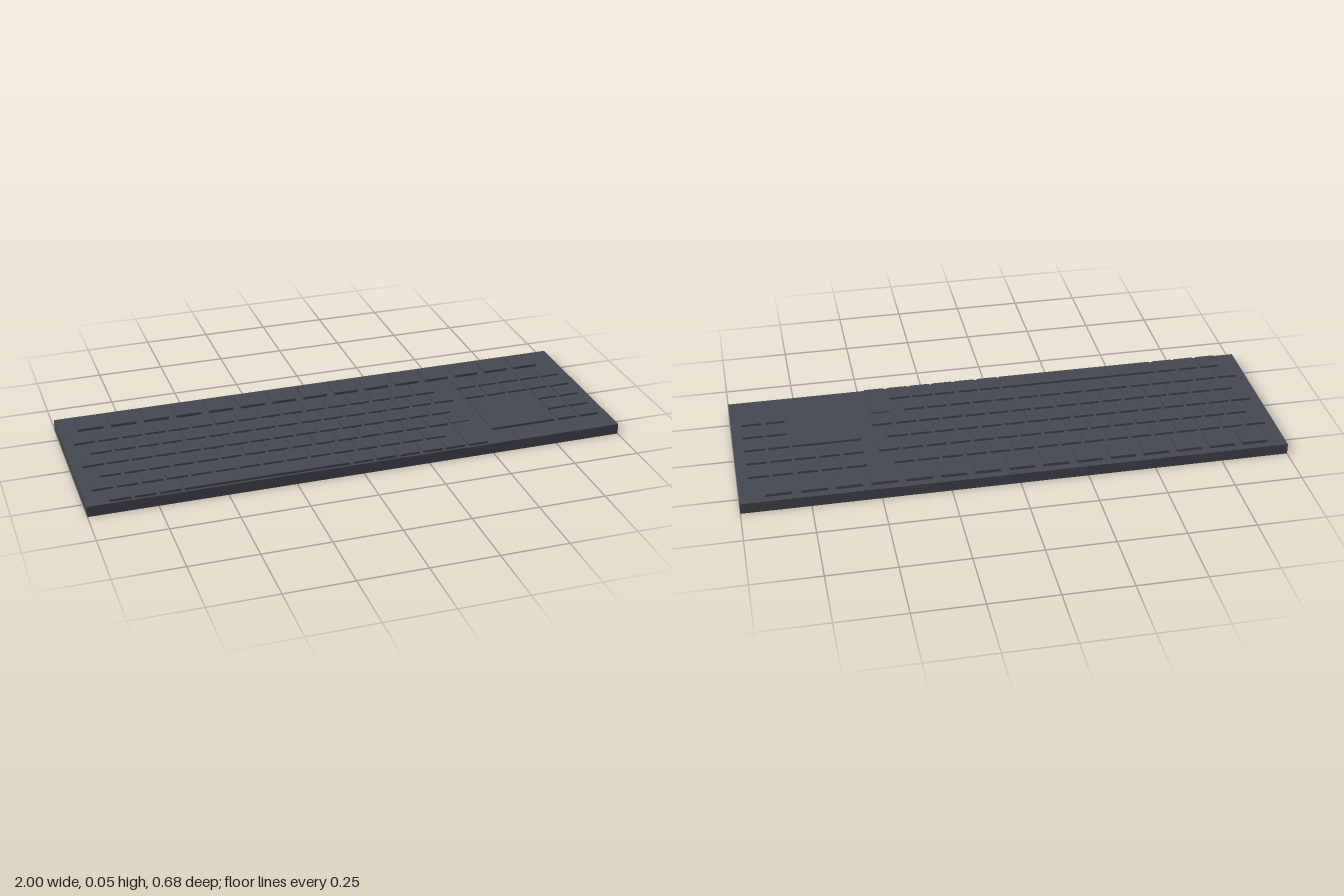
import * as THREE from 'three';

const PITCH = 0.0882, KEY = 0.075, DECK = 0.04;
const KEY_TOP = 0.049, FUNCTION_TOP = 0.051;

export function createModel() {
  const keyboard = new THREE.Group();
  keyboard.name = 'keyboard';
  const slate = new THREE.MeshStandardMaterial({ color: 0x444851 });
  slate.name = 'slate grey';

  // Box given by its centre in plan, its size and its lower and upper heights
  function block(parent, name, x, z, w, d, bottom, top) {
    const mesh = new THREE.Mesh(new THREE.BoxGeometry(w, top - bottom, d), slate);
    mesh.name = name;
    mesh.position.set(x, (bottom + top) / 2, z);
    parent.add(mesh);
  }
  function section(name) {
    const group = new THREE.Group();
    group.name = name;
    keyboard.add(group);
    return group;
  }
  const rowZ = (row) => -0.149 + row * 0.088;

  // Flat slab body
  block(keyboard, 'body', 0, 0, 2, 0.676, 0, DECK);

  // Larger, slightly taller keys along the back
  const functionKeys = section('functionKeys');
  for (let i = 0; i < 15; i++) {
    block(functionKeys, 'functionKey', -0.883 + i * 0.1245, -0.262, 0.095, 0.095, DECK, FUNCTION_TOP);
  }

  // Staggered main rows; the front row leaves a gap for the space bar
  const mainKeys = section('mainKeys');
  const counts = [16, 16, 16, 16, 15, 15];
  const columnX = (row, i) => (row % 2 ? -0.881 : -0.925) + i * PITCH;
  counts.forEach((count, row) => {
    for (let i = 0; i < count; i++) {
      if (row === 5 && i > 2 && i < 10) continue;
      block(mainKeys, 'key', columnX(row, i), rowZ(row), KEY, KEY, DECK, KEY_TOP);
    }
  });
  block(mainKeys, 'spaceBar', columnX(5, 6), rowZ(5), 6 * PITCH + KEY, KEY, DECK, KEY_TOP);
  block(mainKeys, 'tallEnterKey', columnX(5, 15), 0.244, KEY, 0.17, DECK, KEY_TOP);

  // Right-hand pad: two full rows, then two columns beside the touch pad
  const sideKeys = section('sideKeys');
  for (let row = 0; row < 5; row++) {
    for (let i = row < 2 ? 0 : 3; i < 5; i++) {
      block(sideKeys, 'sideKey', 0.571 + i * PITCH, rowZ(row), KEY, KEY, DECK, KEY_TOP);
    }
  }
  block(sideKeys, 'touchPad', 0.571 + PITCH, rowZ(3), 2 * PITCH + KEY, 2 * 0.088 + KEY, DECK, KEY_TOP);

  return keyboard;
}
